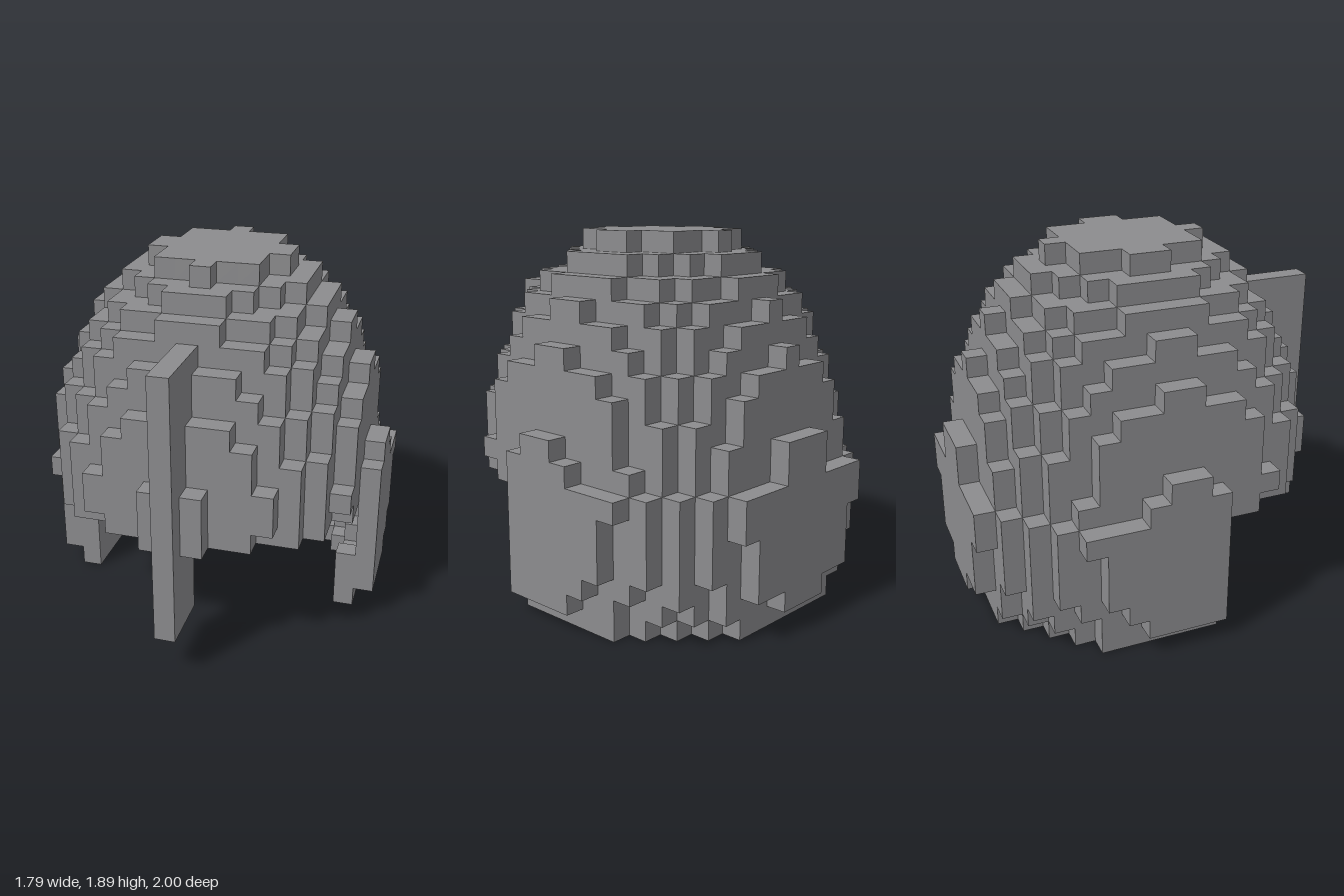
import * as THREE from 'three';

const U = 2 / 19;             // edge of one block
const RX = 8.46, RZ = 9;      // radii of the full oval plan, in blocks
const RIM = 6;                // layer of the face opening's upper edge
const CHEEK_Z = 1;            // front end of the cheek guards

// Relative plan area of each layer, from the ground up
const LAYERS = [0.85, 0.925, 1.03, 1.06, 1.1, 1.13, 1.17, 0.94, 0.92, 0.885,
  0.838, 0.768, 0.697, 0.6036, 0.523, 0.395, 0.274, 0.152];

// The same for the hollow inside the neck guard, one block in
const NECK_HOLLOW = [0.76, 0.85, 0.91, 0.965, 1.06, 1.1];

const oval = (x, z, inset) => (x / (RX - inset)) ** 2 + ((z + 0.5) / (RZ - inset)) ** 2;

// Full volume, before hollowing and cutting the face opening
function outer(x, y, z) {
  if (y >= LAYERS.length || Math.abs(x) > 8 || z < -9) return false;
  return oval(x, z, 0) <= (y === RIM && z > CHEEK_Z ? 0.91 : LAYERS[y]);
}

// Hollow space for the head, open at the bottom
function hollow(x, y, z) {
  if (y < RIM) return oval(x, z, 1) <= NECK_HOLLOW[y];
  if (!outer(x, y + 1, z)) return false;
  return [[1, 0], [-1, 0], [0, 1], [0, -1]].every(([dx, dz]) =>
    outer(x + dx, y, z + dz) && outer(x + dx, y - 1, z + dz));
}

// Which part owns a block, or null where it is empty
function partAt(x, y, z) {
  if (y < 0) return null;
  if (x === 0 && y >= 2 && y <= 14 && z >= 7 && z <= 9) return 'noseGuard';
  if (y < RIM && z > CHEEK_Z) return null;
  if (!outer(x, y, z) || hollow(x, y, z)) return null;
  return y <= RIM && z <= CHEEK_Z ? 'neckAndCheekGuard' : 'dome';
}

// Adds one square face of a block; axis 0, 1, 2 and sign give its direction
function addFace(out, cell, axis, sign) {
  const a = (axis + 1) % 3, b = (axis + 2) % 3;
  const corners = [[-1, -1], [1, -1], [1, 1], [-1, 1]].map(([s, t]) => {
    const p = [cell[0], cell[1] + 0.5, cell[2]];
    p[axis] += sign / 2;
    p[a] += s / 2;
    p[b] += (t * sign) / 2;
    return p.map((v) => v * U);
  });
  for (const i of [0, 1, 2, 0, 2, 3]) out.push(...corners[i]);
}

export function createModel() {
  const group = new THREE.Group();
  group.name = 'helmet';
  const steel = new THREE.MeshStandardMaterial({ color: 0x8c8c8e });
  steel.name = 'steel grey';

  // Collect the exposed faces of every block, part by part
  const parts = { dome: [], neckAndCheekGuard: [], noseGuard: [] };
  for (let x = -8; x <= 8; x++) {
    for (let y = 0; y < LAYERS.length; y++) {
      for (let z = -9; z <= 9; z++) {
        const part = partAt(x, y, z);
        if (!part) continue;
        for (let axis = 0; axis < 3; axis++) {
          for (const sign of [-1, 1]) {
            const next = [x, y, z];
            next[axis] += sign;
            if (!partAt(...next)) addFace(parts[part], [x, y, z], axis, sign);
          }
        }
      }
    }
  }

  for (const [name, positions] of Object.entries(parts)) {
    const geometry = new THREE.BufferGeometry();
    geometry.setAttribute('position', new THREE.Float32BufferAttribute(positions, 3));
    geometry.computeVertexNormals();
    const mesh = new THREE.Mesh(geometry, steel);
    mesh.name = name;
    group.add(mesh);
  }
  return group;
}
